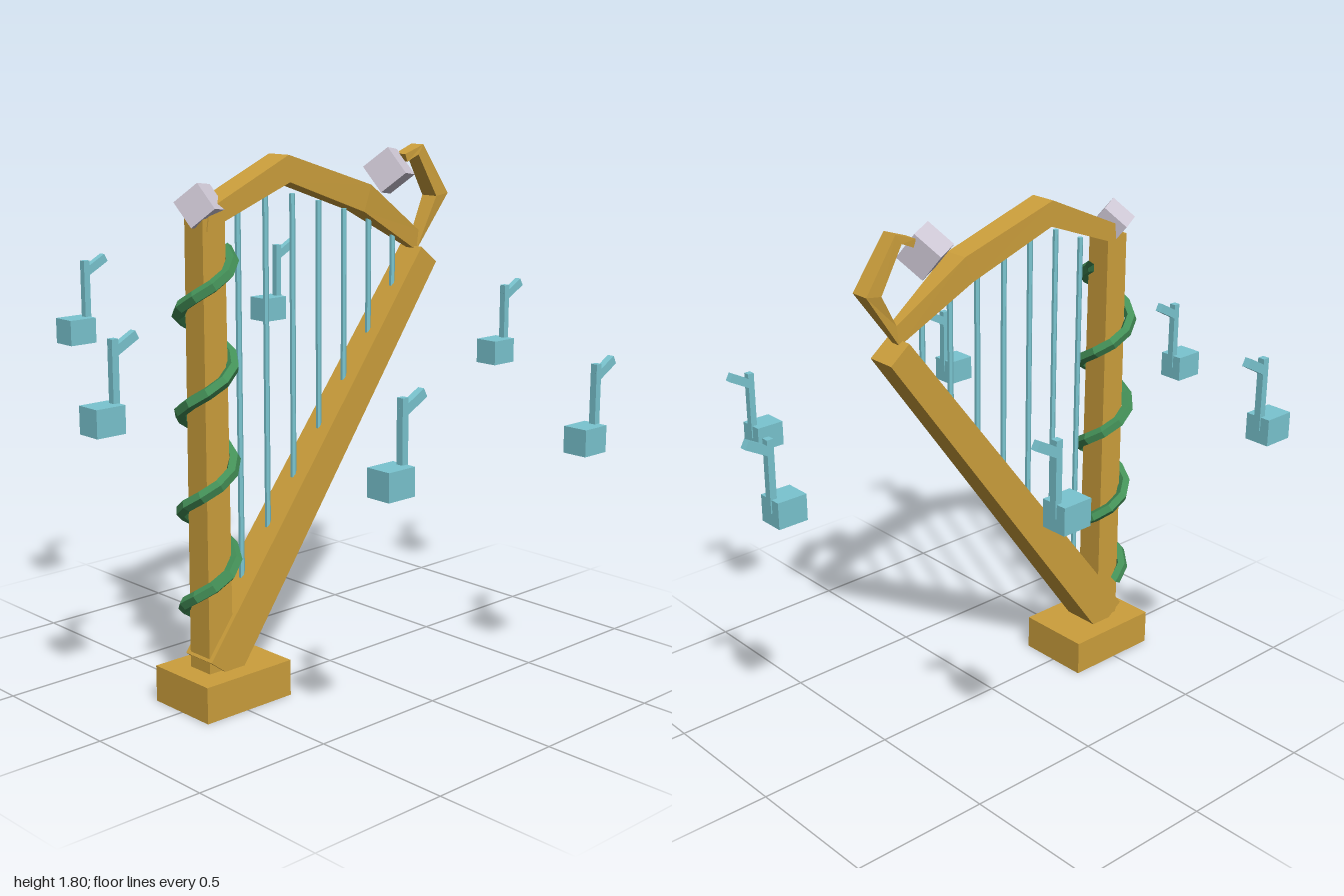
import * as THREE from 'three';

const mat = (name, color) => {
  const m = new THREE.MeshStandardMaterial({ color });
  m.name = name;
  m.flatShading = true;
  return m;
};

// Faceted four-sided loft; each section is [upperX, upperY, lowerX, lowerY, halfDepth].
function loft(sections) {
  const pos = [], idx = [];
  for (const [ax, ay, bx, by, h] of sections) {
    pos.push(ax, ay, h, ax, ay, -h, bx, by, -h, bx, by, h);
  }
  const quad = (a, b, c, d) => idx.push(a, b, c, a, c, d);
  for (let i = 0; i < sections.length - 1; i++) {
    for (let k = 0; k < 4; k++) {
      const n = (k + 1) % 4, r = i * 4;
      quad(r + k, r + 4 + k, r + 4 + n, r + n);
    }
  }
  const e = (sections.length - 1) * 4;
  quad(0, 1, 2, 3);
  quad(e + 3, e + 2, e + 1, e);
  const g = new THREE.BufferGeometry();
  g.setAttribute('position', new THREE.Float32BufferAttribute(pos, 3));
  g.setIndex(idx);
  const flat = g.toNonIndexed();
  flat.computeVertexNormals();
  return flat;
}

// Spiral climbing the pillar.
class Helix extends THREE.Curve {
  getPoint(t, target = new THREE.Vector3()) {
    const a = Math.PI * 1.5 - t * 3.75 * Math.PI * 2;
    return target.set(-0.543 + 0.087 * Math.cos(a), 0.295 + 1.22 * t, 0.087 * Math.sin(a));
  }
}

export function createModel() {
  const gold = mat('gold', 0xcc9f3c);
  const teal = mat('teal', 0x7ac5d0);
  const green = mat('vine green', 0x449158);
  const grey = mat('pale grey', 0xd2cbd9);
  green.side = THREE.DoubleSide;

  const model = new THREE.Group();
  model.name = 'harp';
  const add = (name, geo, material, x = 0, y = 0, z = 0, parent = model) => {
    const mesh = new THREE.Mesh(geo, material);
    mesh.name = name;
    mesh.position.set(x, y, z);
    parent.add(mesh);
    return mesh;
  };

  // Frame
  add('base', new THREE.BoxGeometry(0.36, 0.125, 0.27), gold, -0.49, 0.0625, 0);
  const pillar = new THREE.CylinderGeometry(0.045 * Math.SQRT2, 0.05 * Math.SQRT2, 1.52, 4);
  pillar.rotateY(Math.PI / 4);
  add('pillar', pillar, gold, -0.54, 0.86, 0);
  add('soundboard', loft([
    [-0.596, 0.17, -0.484, 0.084, 0.067],
    [0.393, 1.452, 0.468, 1.393, 0.052],
  ]), gold);

  // Neck running into the curled scroll
  add('neck', loft([
    [-0.56, 1.65, -0.57, 1.58, 0.05],
    [-0.227, 1.8, -0.222, 1.712, 0.048],
    [0.152, 1.682, 0.12, 1.592, 0.043],
    [0.414, 1.506, 0.404, 1.436, 0.016],
  ]), gold);
  add('scroll', loft([
    [0.414, 1.506, 0.404, 1.436, 0.016],
    [0.484, 1.622, 0.543, 1.63, 0.034],
    [0.396, 1.771, 0.42, 1.805, 0.029],
    [0.345, 1.748, 0.335, 1.775, 0.024],
  ]), gold);

  // Strings
  const tops = [1.63, 1.68, 1.67, 1.64, 1.605, 1.565, 1.51];
  tops.forEach((top, i) => {
    const x = -0.405 + i * 0.1173;
    const bottom = 0.17 + (x + 0.596) * 1.296 - 0.03;
    add('string' + (i + 1), new THREE.CylinderGeometry(0.01, 0.01, top - bottom, 6),
      teal, x, (top + bottom) / 2, 0);
  });

  // Vine
  add('vine', new THREE.TubeGeometry(new Helix(), 36, 0.022, 5, false), green);

  // Tilted crystals on the pillar top and inside the scroll
  const tilt = new THREE.Matrix4().makeBasis(
    new THREE.Vector3(0.88, -0.12, -0.46),
    new THREE.Vector3(0.42, 0.62, 0.66),
    new THREE.Vector3(0.206, -0.774, 0.596));
  [[-0.555, 1.655, 0.1], [0.28, 1.72, 0.11]].forEach(([x, y, s], i) => {
    const geo = new THREE.BoxGeometry(s, s, s);
    geo.applyMatrix4(tilt);
    geo.computeVertexNormals();
    add('crystal' + (i + 1), geo, grey, x, y, 0);
  });

  // Ring of floating musical notes: head, stem and flag
  const heights = [1.015, 0.886, 0.91, 1.035, 1.155, 1.135];
  heights.forEach((y, i) => {
    const a = i * Math.PI / 3;
    const note = new THREE.Group();
    note.name = 'note' + (i + 1);
    note.position.set(-0.045 + 0.905 * Math.cos(a), y, 0.784 * Math.sin(a) / Math.sin(Math.PI / 3));
    if (i % 3 === 0) note.position.z = 0;
    add('noteHead', new THREE.BoxGeometry(0.107, 0.09, 0.09), teal, 0, 0, 0, note);
    add('noteStem', new THREE.BoxGeometry(0.024, 0.245, 0.024), teal, 0.046, 0.122, 0, note);
    add('noteFlag', new THREE.BoxGeometry(0.1, 0.03, 0.024), teal, 0.085, 0.225, 0, note)
      .rotation.z = 0.5;
    model.add(note);
  });

  return model;
}
